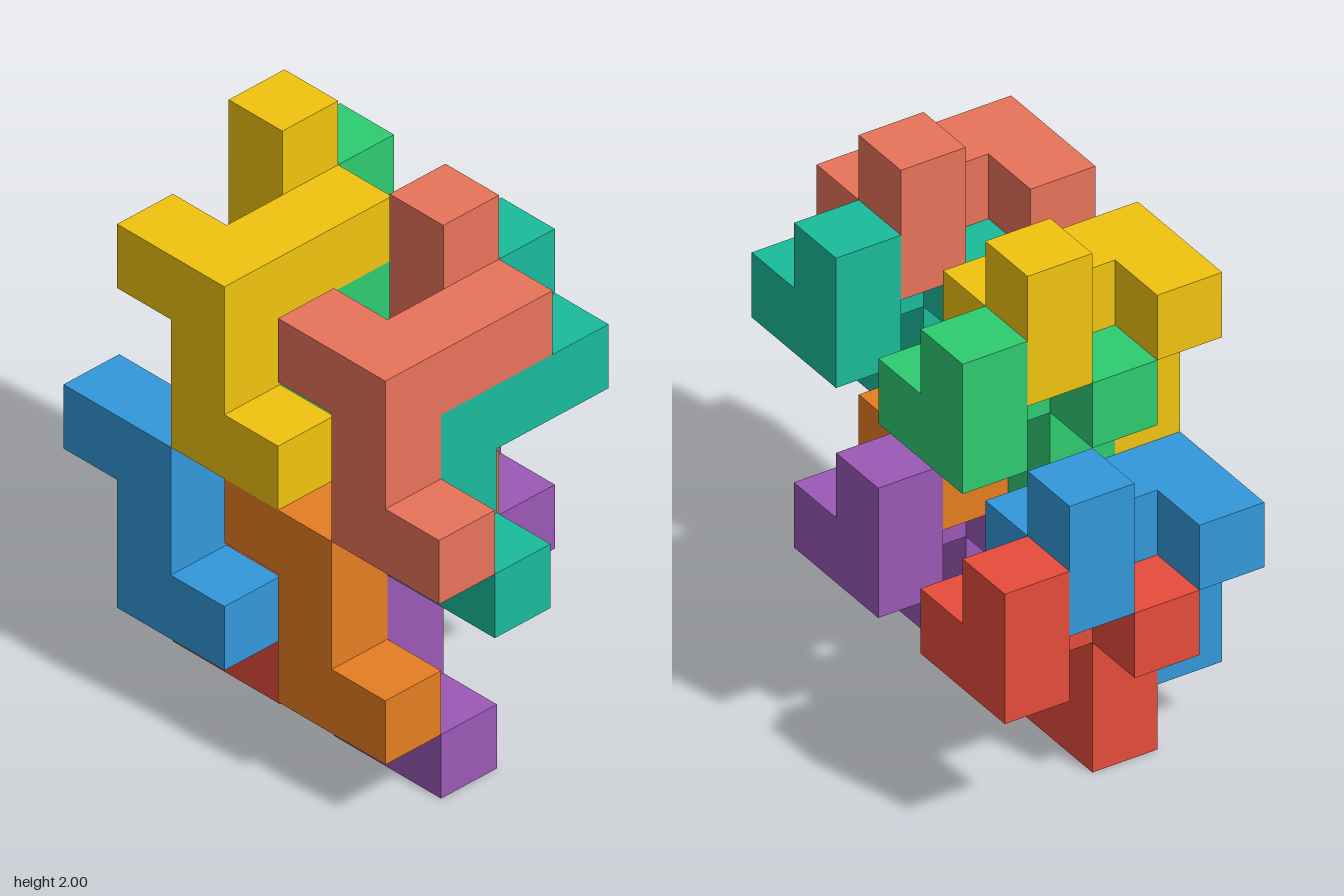
import * as THREE from 'three';
import { mergeGeometries } from 'three/addons/utils/BufferGeometryUtils.js';

const U = 0.25; // edge of one cube cell

// box spanning whole cells, from its lowest corner
function cells(x, y, z, w, h, d) {
  return new THREE.BoxGeometry(w, h, d).translate(x + w / 2, y + h / 2, z + d / 2).toNonIndexed();
}

// one interlocking piece: stepped front plate, arm going back, upright post
function pieceGeometry() {
  const outline = [[1, 0], [3, 0], [3, 1], [2, 1], [2, 3], [0, 3], [0, 2], [1, 2]];
  const shape = new THREE.Shape(outline.map(([x, y]) => new THREE.Vector2(x, y)));
  const plate = new THREE.ExtrudeGeometry(shape, { depth: 1, bevelEnabled: false });
  const arm = cells(1, 2, -2, 1, 1, 2);
  const post = cells(0, 2, -2, 1, 2, 1);
  return mergeGeometries([plate, arm, post]).scale(U, U, U);
}

export function createModel() {
  const model = new THREE.Group();
  model.name = 'interlockingTiling';
  const geometry = pieceGeometry();

  // four columns of the tiling, each with a front piece and one nested behind and below
  const pairs = [
    { name: 'upperLeft', x: 4, y: 4, front: 0xe8735a, back: 0x1abc9c },
    { name: 'upperRight', x: 1, y: 4, front: 0xf1c40f, back: 0x2ecc71 },
    { name: 'lowerLeft', x: 3, y: 1, front: 0xe67e22, back: 0x9b59b6 },
    { name: 'lowerRight', x: 0, y: 1, front: 0x3498db, back: 0xe74c3c },
  ];
  for (const p of pairs) {
    [p.front, p.back].forEach((color, step) => {
      const material = new THREE.MeshStandardMaterial({ color, flatShading: true });
      const piece = new THREE.Mesh(geometry, material);
      piece.name = p.name + (step ? 'BackPiece' : 'FrontPiece');
      piece.position.set((p.x - 3.5) * U, (p.y - step) * U, (1 - step) * U);
      model.add(piece);
    });
  }
  return model;
}
